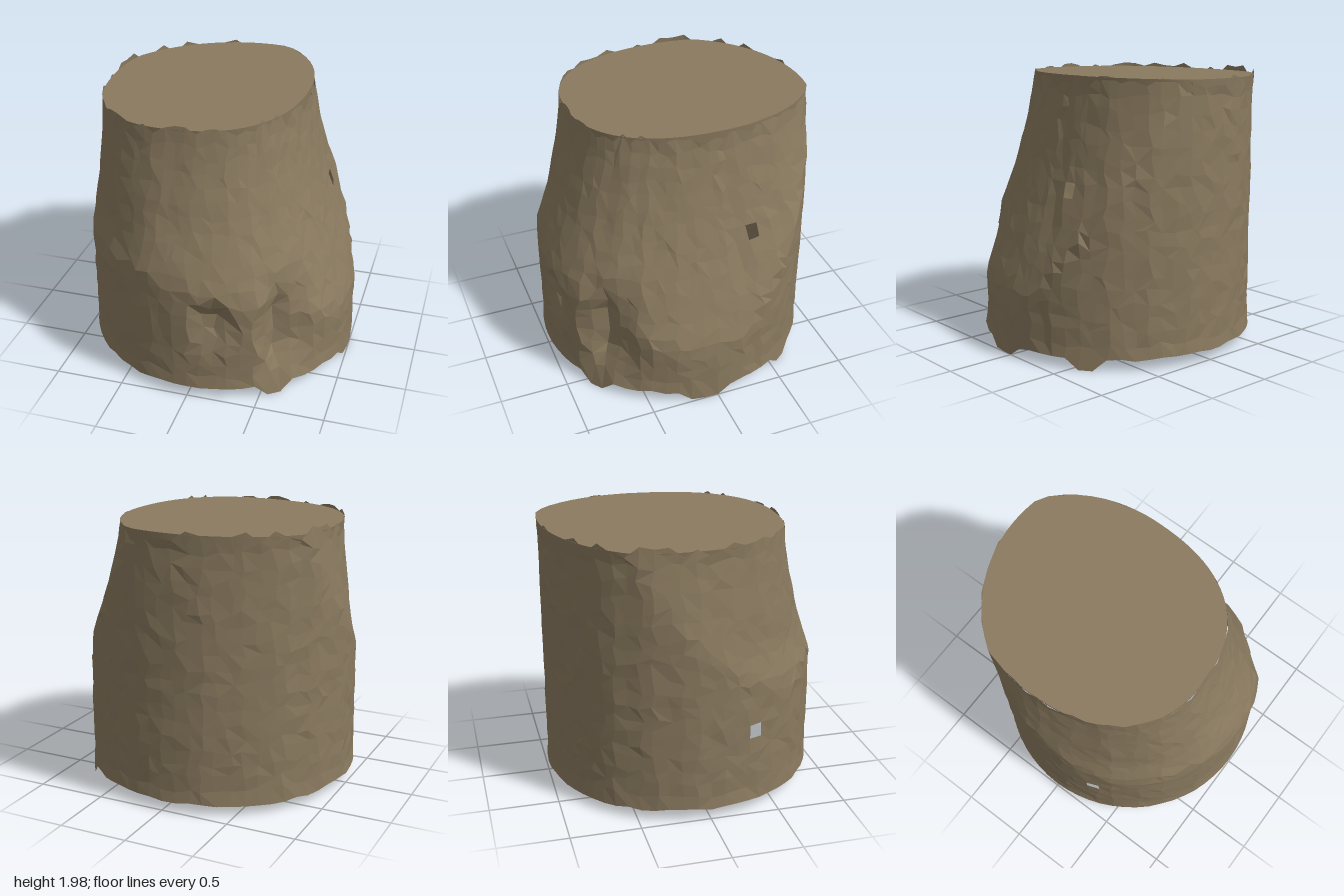
import * as THREE from 'three';

const COLS = 64, ROWS = 19, TAU = Math.PI * 2;

// small seeded random generator
function seeded(seed) {
  return () => {
    seed = (seed * 1664525 + 1013904223) % 4294967296;
    return seed / 4294967296;
  };
}

// how far the trunk flares out beyond its cut top: [height, flare]
const FLARE = [[0, 0.5], [0.4, 0.45], [0.8, 0.31], [1.0, 0.24], [1.33, 0.135], [1.65, 0.06], [2, 0]];
function flareAt(y) {
  let i = 0;
  while (i < FLARE.length - 2 && y > FLARE[i + 1][0]) i++;
  const [y0, f0] = FLARE[i], [y1, f1] = FLARE[i + 1];
  return f0 + (f1 - f0) * (y - y0) / (y1 - y0);
}

// off-centre oval that grows downwards, with its own squareness in each quarter,
// trimmed by the unit cylinder
function radiusAt(angle, y) {
  const flare = flareAt(y);
  const cx = -0.163 + 0.14 * flare, a = 0.73 + 0.86 * flare;
  const cz = -0.2, b = 0.9 + 1.08 * flare;
  const inside = (r) => {
    const x = r * Math.cos(angle) - cx, z = r * Math.sin(angle) - cz;
    let n = 2;
    if (z > 0) n = x > 0 ? 2.4 : Math.max(1.85, 2.4 - 3 * flare);
    else if (x > 0) n = 2 + 2 * flare;
    return Math.abs(x / a) ** n + Math.abs(z / b) ** n < 1;
  };
  let low = 0.3, high = 1;
  if (inside(high)) return high;
  for (let i = 0; i < 24; i++) {
    const mid = (low + high) / 2;
    if (inside(mid)) low = mid; else high = mid;
  }
  return low;
}

// 1 at the centre, falling to 0 over the given distances before and after it
const bump = (v, centre, before, after = before) =>
  Math.max(0, 1 - (v < centre ? (centre - v) / before : (v - centre) / after));

const capHeight = (x, z) => 1.952 + 0.025 * x - 0.012 * z;

function makeGeometry(pos, index) {
  const geo = new THREE.BufferGeometry();
  geo.setAttribute('position', new THREE.Float32BufferAttribute(pos, 3));
  geo.setIndex(index);
  geo.computeVertexNormals();
  return geo;
}

function barkGeometry() {
  const rand = seeded(11);
  const ridges = Array.from({ length: COLS }, () => rand() * 0.009);
  const tabs = [0, 1, 2, 9, 10, 57, 58];   // columns where the root edge reaches the ground
  const holes = [[59, 11], [28, 5]];       // missing cells: knot holes
  const pos = [], index = [];

  for (let j = 0; j <= ROWS; j++) {
    for (let i = 0; i < COLS; i++) {
      const edge = j === 0 || j === ROWS;
      const nearHole = holes.some(([c, r]) => (i === c || i === c + 1) && (j === r || j === r + 1));
      const jitter = edge ? 0 : nearHole ? 0.1 : 0.6;
      const angle = (i + (rand() - 0.5) * jitter) / COLS * TAU;
      let y = 0.075 + 1.865 * (j + (rand() - 0.5) * jitter) / ROWS;
      if (j === 0) y = tabs.includes(i) ? 0 : 0.065 + rand() * 0.025;
      if (j === ROWS) y = 1.9 + rand() * 0.08;
      let r = radiusAt(angle, y);
      if (!edge) {
        r -= ridges[i] + rand() * 0.009;
        // fold between the front and left roots, steepest on its front side
        r -= 0.14 * bump(angle, 0.9, 0.4, 0.14) * Math.min(1, 1.6 * bump(y, 0.52, 0.4));
        // hollow on the front, with a ledge above it
        r -= 0.1 * bump(angle, 1.4, 0.2, 0.16) * bump(y, 0.66, 0.3, 0.12);
      }
      pos.push(r * Math.cos(angle), y, r * Math.sin(angle));
    }
  }
  for (let j = 0; j < ROWS; j++) {
    for (let i = 0; i < COLS; i++) {
      const flip = rand() < 0.5;
      if (holes.some(([c, r]) => c === i && r === j)) continue;
      const k = (i + 1) % COLS;
      const a = j * COLS + i, b = j * COLS + k, c = a + COLS, d = b + COLS;
      if (flip) index.push(a, c, b, b, c, d);
      else index.push(a, c, d, a, d, b);
    }
  }
  return makeGeometry(pos, index);
}

// sawn face: a fan around a centre point
function cutTopGeometry() {
  const pos = [0, capHeight(0, 0), 0], index = [];
  for (let i = 0; i < COLS; i++) {
    const angle = i / COLS * TAU, r = radiusAt(angle, 1.95);
    const x = r * Math.cos(angle), z = r * Math.sin(angle);
    pos.push(x, capHeight(x, z), z);
    index.push(0, (i + 1) % COLS + 1, i + 1);
  }
  return makeGeometry(pos, index);
}

// smooth band that joins the sawn face to the ragged bark
function rimGeometry() {
  const pos = [], index = [];
  for (let i = 0; i < COLS; i++) {
    const angle = i / COLS * TAU, r = radiusAt(angle, 1.95);
    const x = r * Math.cos(angle), z = r * Math.sin(angle);
    pos.push(x, capHeight(x, z), z, x * 0.993, 1.885, z * 0.993);
    const a = 2 * i, b = 2 * ((i + 1) % COLS);
    index.push(a, b, a + 1, b, b + 1, a + 1);
  }
  return makeGeometry(pos, index);
}

export function createModel() {
  const group = new THREE.Group();
  group.name = 'treeStump';
  const add = (name, geometry, flatShading) => {
    const mesh = new THREE.Mesh(geometry, new THREE.MeshStandardMaterial({
      color: 0x8a7a5f, flatShading, side: THREE.DoubleSide,
    }));
    mesh.name = name;
    group.add(mesh);
  };
  add('bark', barkGeometry(), true);
  add('cutTop', cutTopGeometry(), false);
  add('cutTopRim', rimGeometry(), false);
  return group;
}
